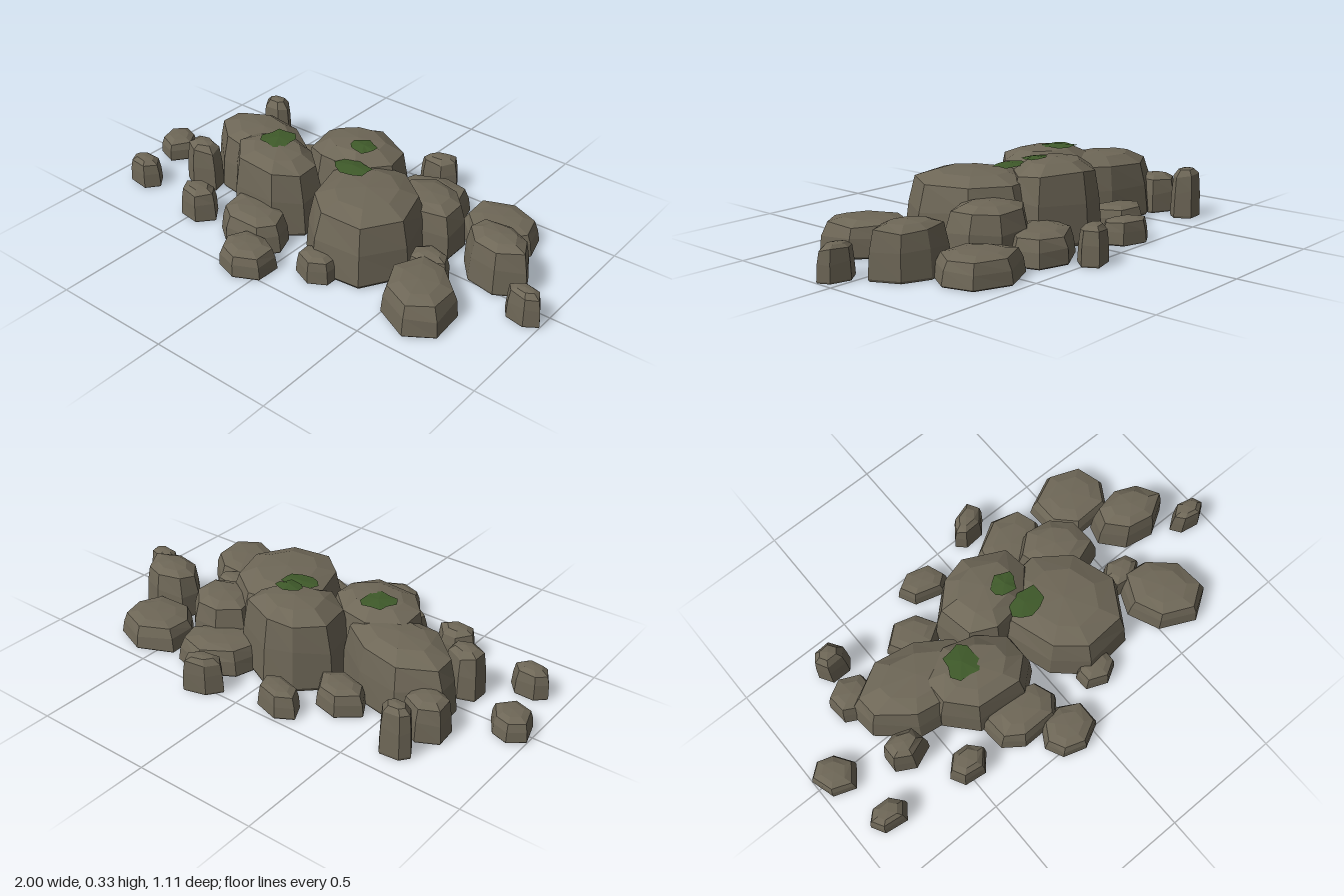
import * as THREE from 'three';

const stone = new THREE.MeshStandardMaterial({ color: 0x6e6757, flatShading: true });
const mossMat = new THREE.MeshStandardMaterial({ color: 0x3f5a2a, flatShading: true, side: THREE.DoubleSide });

// small repeatable random generator
function seeded(seed) {
  let s = seed * 7919 + 13;
  return () => (s = (s * 16807) % 2147483647) / 2147483647;
}

// irregular polygon stretched to fill the given bounds; skew slants it diagonally
function footprint(x0, x1, z0, z1, sides, phase, skew, rnd) {
  const pts = [];
  for (let i = 0; i < sides; i++) {
    const a = ((i + phase + (rnd() - 0.5) * 0.35) / sides) * Math.PI * 2;
    const r = 0.94 + rnd() * 0.12;
    const x = Math.cos(a) * r;
    pts.push(new THREE.Vector2(x, Math.sin(a) * r + skew * x));
  }
  const box = new THREE.Box2().setFromPoints(pts);
  const size = box.getSize(new THREE.Vector2());
  return pts.map(p => new THREE.Vector2(
    x0 + ((p.x - box.min.x) / size.x) * (x1 - x0),
    z0 + ((p.y - box.min.y) / size.y) * (z1 - z0)));
}

// cross-sections of a stone from base to crown: [height fraction, scale]
const RINGS = [[0, 0], [0, 0.965], [0.045, 1], [0.52, 0.95], [0.86, 0.84], [0.97, 0.52], [1, 0]];

function rockGeometry([x0, x1, z0, z1, h, phase, skew], sides, seed) {
  const rnd = seeded(seed);
  const base = footprint(x0, x1, z0, z1, sides, phase, skew, rnd);
  const cx = (x0 + x1) / 2, cz = (z0 + z1) / 2;
  const pos = [], idx = [];
  RINGS.forEach(([fy, s], j) => {
    const loose = j === 3 || j === 4;
    for (const p of base) {
      const k = s * (loose ? 0.98 + rnd() * 0.04 : 1);
      const y = h * (fy + (loose ? (rnd() - 0.5) * 0.09 : 0));
      pos.push(cx + (p.x - cx) * k, y, cz + (p.y - cz) * k);
    }
  });
  for (let j = 0; j < RINGS.length - 1; j++) {
    for (let i = 0; i < sides; i++) {
      const a = j * sides + i, b = j * sides + (i + 1) % sides;
      const c = a + sides, d = b + sides;
      if (RINGS[j + 1][1] > 0) idx.push(a, c, d);
      if (RINGS[j][1] > 0) idx.push(a, d, b);
    }
  }
  const g = new THREE.BufferGeometry();
  g.setAttribute('position', new THREE.Float32BufferAttribute(pos, 3));
  g.setIndex(idx);
  const flat = g.toNonIndexed();
  flat.computeVertexNormals();
  return flat;
}

// thin lobed moss patch, slightly domed and tilted
function mossPatch(x, y, z, rx, rz, tiltX, tiltZ, seed) {
  const rnd = seeded(seed);
  const n = 11, pos = [0, 0.008, 0], idx = [];
  for (let i = 0; i < n; i++) {
    const a = (i / n) * Math.PI * 2, r = 0.72 + rnd() * 0.35;
    pos.push(Math.cos(a) * rx * r, (rnd() - 0.5) * 0.006, Math.sin(a) * rz * r);
    idx.push(0, 1 + (i + 1) % n, 1 + i);
  }
  const g = new THREE.BufferGeometry();
  g.setAttribute('position', new THREE.Float32BufferAttribute(pos, 3));
  g.setIndex(idx);
  g.computeVertexNormals();
  const m = new THREE.Mesh(g, mossMat);
  m.position.set(x, y, z);
  m.rotation.set(tiltX, 0, tiltZ);
  m.name = 'mossPatch';
  return m;
}

// each stone: x0, x1, z0, z1, height, phase, skew
const BOULDERS = [
  [-0.05, 0.46, -0.19, 0.33, 0.285, 0.2, 0.2],
  [-0.46, -0.03, -0.1, 0.25, 0.308, 0.5, 0.2],
  [-0.24, 0.21, -0.34, 0.03, 0.325, 0.25, 0],
  [-0.71, -0.17, -0.24, 0.13, 0.272, 0.4, 0.35],
];
const STONES = [
  [0.07, 0.41, -0.45, -0.15, 0.12, 0.3, -0.3],
  [0.2, 0.51, -0.29, -0.01, 0.215, 0.6, 0.2],
  [0.43, 0.75, -0.46, -0.18, 0.11, 0.1, 0.1],
  [0.56, 0.87, -0.2, 0.02, 0.205, 0.2, 0.2],
  [0.44, 0.75, 0.09, 0.43, 0.14, 0.4, 0.25],
  [-0.34, -0.03, 0.17, 0.39, 0.14, 0.1, 0.1],
  [-0.2, 0.03, 0.35, 0.55, 0.105, 0.5, 0],
];
const PEBBLES = [
  [0.08, 0.25, -0.56, -0.44, 0.152, 0.1, -0.3],
  [-0.25, -0.04, -0.49, -0.34, 0.1, 0.2, 0.2],
  [-0.44, -0.19, -0.35, -0.17, 0.1, 0.1, 0.2],
  [-0.72, -0.57, -0.42, -0.32, 0.21, 0, 0],
  [-0.76, -0.58, -0.29, -0.09, 0.16, 0.4, 0.2],
  [-1, -0.82, -0.09, 0.09, 0.09, 0.1, 0.2],
  [-0.93, -0.76, 0.21, 0.32, 0.12, 0.1, 0.1],
  [-0.72, -0.55, 0.04, 0.18, 0.205, 0.4, 0.2],
  [-0.57, -0.39, 0.24, 0.37, 0.14, 0.1, 0],
  [0.09, 0.25, 0.25, 0.4, 0.105, 0.5, 0],
  [0.43, 0.61, 0.02, 0.15, 0.13, 0.2, 0],
  [0.84, 1, 0.01, 0.11, 0.138, 0.1, 0.2],
];

export function createModel() {
  const group = new THREE.Group();
  group.name = 'rockPile';
  let seed = 1;
  const addRocks = (list, sides, name) => {
    for (const r of list) {
      const m = new THREE.Mesh(rockGeometry(r, sides, seed++), stone);
      m.name = name;
      group.add(m);
    }
  };
  addRocks(BOULDERS, 8, 'boulder');
  addRocks(STONES, 7, 'stone');
  addRocks(PEBBLES, 6, 'pebble');

  // moss on the three tallest boulders
  group.add(
    mossPatch(-0.28, 0.307, 0.03, 0.075, 0.075, 0, 0, 3),
    mossPatch(0.05, 0.325, -0.11, 0.06, 0.05, 0.05, -0.05, 5),
    mossPatch(0.07, 0.287, -0.01, 0.085, 0.06, 0, 0, 8));
  return group;
}
